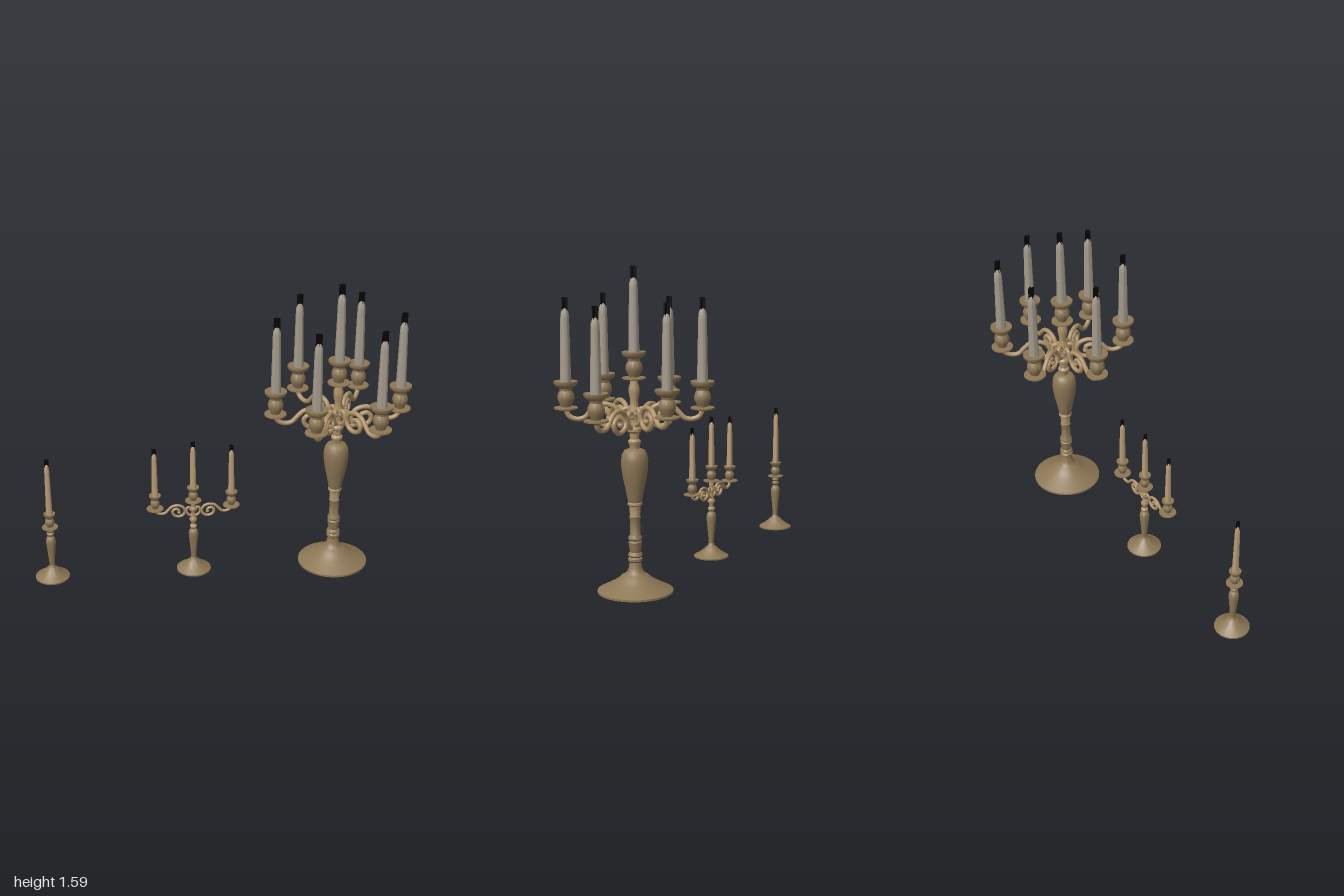
import * as THREE from 'three';
import { toCreasedNormals } from 'three/addons/utils/BufferGeometryUtils.js';

const mat = (name, hex, side = THREE.FrontSide) => {
  const m = new THREE.MeshStandardMaterial({ color: hex, side });
  m.name = name;
  return m;
};

export function createModel() {
  const bronze = mat('bronze', 0x8c7654);
  const brass = mat('light brass', 0xac9068);
  const greyWax = mat('grey wax', 0xa39a8a);
  const tanWax = mat('tan wax', 0xb89a72);
  const black = mat('black', 0x060504, THREE.DoubleSide);
  const darkRed = mat('dark red felt', 0x4a2224);

  const add = (parent, name, geometry, material) => {
    const m = new THREE.Mesh(geometry, material);
    m.name = name;
    parent.add(m);
    return m;
  };
  const group = (parent, name, x = 0, y = 0, z = 0) => {
    const g = new THREE.Group();
    g.name = name;
    g.position.set(x, y, z);
    parent.add(g);
    return g;
  };
  // Turned part from [radius, height] pairs, listed from bottom to top
  const turned = (parent, name, pts, material, seg = 32) =>
    add(parent, name, toCreasedNormals(
      new THREE.LatheGeometry(pts.map(p => new THREE.Vector2(...p)), seg), 0.7), material);

  // Flat underside that closes a foot
  const underside = (parent, r, material) => {
    const m = add(parent, 'footUnderside', new THREE.CircleGeometry(r, 32), material);
    m.rotation.x = Math.PI / 2;
  };

  // Drip pan, bulb and flared socket, from y = 0 to y = h
  const cup = (parent, pan, bulb, lip, h) => turned(parent, 'candleCup', [
    [0, -0.03 * h], [pan * 0.5, -0.03 * h], [pan, 0.03 * h], [pan, 0.08 * h], [bulb * 0.6, 0.1 * h],
    [bulb * 0.72, 0.2 * h], [bulb * 0.97, 0.34 * h], [bulb, 0.46 * h], [bulb * 0.88, 0.58 * h],
    [bulb * 0.7, 0.67 * h], [bulb * 0.75, 0.75 * h], [lip * 0.85, 0.83 * h], [lip, 0.92 * h],
    [lip, h], [lip * 0.85, h], [0, 0.93 * h]], bronze);

  // Tapered candle with a crossed pair of thin black plates at the tip
  const candle = (parent, y, r, h, wax, w, flameH) => {
    const g = group(parent, 'candle', 0, y, 0);
    turned(g, 'wax', [[r, 0], [r * 0.78, h * 0.86], [r * 0.72, h * 0.93], [r * 0.45, h * 0.985], [0, h]], wax, 20);
    for (const a of [0, Math.PI / 2]) {
      const p = add(g, 'wick', new THREE.PlaneGeometry(w, flameH), black);
      p.position.y = h - 0.012 + flameH / 2;
      p.rotation.y = a;
    }
  };

  const tube = (parent, name, pts, r) => {
    const curve = new THREE.CatmullRomCurve3(pts.map(p => new THREE.Vector3(p[0], p[1], 0)));
    add(parent, name, new THREE.TubeGeometry(curve, pts.length * 6, r, 10), brass);
    // Rounded ends
    for (const p of [pts[0], pts[pts.length - 1]])
      add(parent, name + 'Tip', new THREE.SphereGeometry(r * 1.25, 12, 8), brass).position.set(p[0], p[1], 0);
  };

  // Scrolled arm reaching along +x; y = 0 is the underside of its cup
  const arm = (parent, s) => {
    const g = group(parent, 'scrollArm');
    const sc = pts => pts.map(p => [p[0] * s, p[1] * s]);
    tube(g, 'scroll', sc([[0.328, 0], [0.315, -0.03], [0.28, -0.046], [0.242, -0.04], [0.212, -0.01],
      [0.18, 0.018], [0.135, 0.026], [0.09, 0.008], [0.072, -0.032], [0.09, -0.068], [0.13, -0.08],
      [0.168, -0.062], [0.178, -0.03], [0.155, -0.008], [0.125, -0.018], [0.122, -0.042]]), 0.0125 * s);
    tube(g, 'bracket', sc([[0.012, -0.075], [0.04, -0.066], [0.058, -0.035], [0.052, -0.002],
      [0.032, 0.004], [0.022, -0.018]]), 0.0115 * s);
    return g;
  };

  const root = new THREE.Group();
  root.name = 'candlesticks';

  // --- Large candelabrum with six arms ---
  const large = group(root, 'largeCandelabrum', 0.61);
  underside(large, 0.186, bronze);
  turned(large, 'foot', [[0.186, 0], [0.186, 0.01], [0.15, 0.028], [0.11, 0.05], [0.08, 0.07], [0.066, 0.084],
    [0.058, 0.088], [0.042, 0.1], [0.033, 0.12], [0.028, 0.15]], bronze, 48);
  turned(large, 'lowerStem', [[0.026, 0.15], [0.036, 0.157], [0.036, 0.168], [0.028, 0.175], [0.036, 0.183],
    [0.034, 0.193], [0.026, 0.2], [0.031, 0.23], [0.033, 0.25], [0.027, 0.257], [0.034, 0.265], [0.034, 0.275],
    [0.026, 0.285], [0.025, 0.36], [0.03, 0.378]], bronze);
  turned(large, 'collar', [[0.028, 0.375], [0.025, 0.385], [0.028, 0.43], [0.036, 0.437], [0.036, 0.446],
    [0.03, 0.452]], brass);
  turned(large, 'urn', [[0.028, 0.43], [0.035, 0.46], [0.046, 0.515], [0.058, 0.57], [0.065, 0.62], [0.066, 0.655],
    [0.062, 0.685], [0.05, 0.706], [0.028, 0.715], [0, 0.716]], bronze);
  turned(large, 'upperStem', [[0.024, 0.71], [0.026, 0.735], [0.031, 0.742], [0.031, 0.752], [0.022, 0.762],
    [0.024, 0.79], [0.034, 0.8], [0.034, 0.812], [0.022, 0.825], [0.02, 0.87], [0.027, 0.89], [0.027, 0.905],
    [0.02, 0.92], [0.019, 0.95], [0.026, 0.985], [0.027, 1.01], [0.02, 1.03], [0.018, 1.055]], brass);
  const largeTop = group(large, 'centreHolder', 0, 1.05);
  cup(largeTop, 0.058, 0.041, 0.058, 0.135);
  candle(largeTop, 0.125, 0.027, 0.365, greyWax, 0.034, 0.065);
  for (let i = 0; i < 6; i++) {
    const branch = group(large, 'branch', 0, i % 3 ? 0.905 : 0.888);
    branch.rotation.y = i * Math.PI / 3;
    arm(branch, 1);
    const holder = group(branch, 'holder', 0.328);
    cup(holder, 0.058, 0.041, 0.058, 0.138);
    holder.rotation.y = -branch.rotation.y;
    candle(holder, 0.128, 0.027, 0.36, greyWax, 0.034, 0.063);
  }

  // Foot and baluster shared by the two smaller pieces
  const smallStem = (parent, r, feltMaterial) => {
    underside(parent, r, feltMaterial);
    turned(parent, 'foot', [[r, 0], [r, 0.007], [0.065, 0.022], [0.042, 0.04], [0.034, 0.049], [0.03, 0.053],
      [0.019, 0.06], [0.014, 0.075]], bronze);
    turned(parent, 'baluster', [[0.013, 0.07], [0.015, 0.09], [0.02, 0.15], [0.025, 0.2], [0.026, 0.22],
      [0.022, 0.238], [0.012, 0.246], [0.012, 0.252]], bronze);
  };

  // --- Medium candelabrum with two arms ---
  const medium = group(root, 'mediumCandelabrum', -0.15);
  smallStem(medium, 0.092, bronze);
  turned(medium, 'upperStem', [[0.012, 0.25], [0.019, 0.258], [0.019, 0.266], [0.011, 0.274], [0.013, 0.29],
    [0.02, 0.3], [0.02, 0.308], [0.012, 0.318], [0.011, 0.35], [0.017, 0.362], [0.017, 0.37], [0.011, 0.38],
    [0.014, 0.395], [0.01, 0.412]], brass);
  const mediumTop = group(medium, 'centreHolder', 0, 0.41);
  cup(mediumTop, 0.043, 0.025, 0.032, 0.085);
  candle(mediumTop, 0.08, 0.017, 0.242, tanWax, 0.023, 0.04);
  for (const a of [0, Math.PI]) {
    const branch = group(medium, 'branch', 0, 0.373);
    branch.rotation.y = a;
    arm(branch, 0.62);
    const holder = group(branch, 'holder', 0.203);
    cup(holder, 0.045, 0.025, 0.032, 0.085);
    candle(holder, 0.08, 0.017, 0.247, tanWax, 0.023, 0.042);
  }

  // --- Small single candlestick ---
  const small = group(root, 'smallCandlestick', -0.91);
  smallStem(small, 0.091, darkRed);
  turned(small, 'upperStem', [[0.012, 0.25], [0.02, 0.258], [0.02, 0.266], [0.013, 0.273], [0.019, 0.281],
    [0.018, 0.289], [0.011, 0.298]], bronze);
  const smallTop = group(small, 'holder', 0, 0.297);
  cup(smallTop, 0.043, 0.026, 0.031, 0.086);
  candle(smallTop, 0.08, 0.017, 0.292, tanWax, 0.023, 0.043);

  return root;
}
